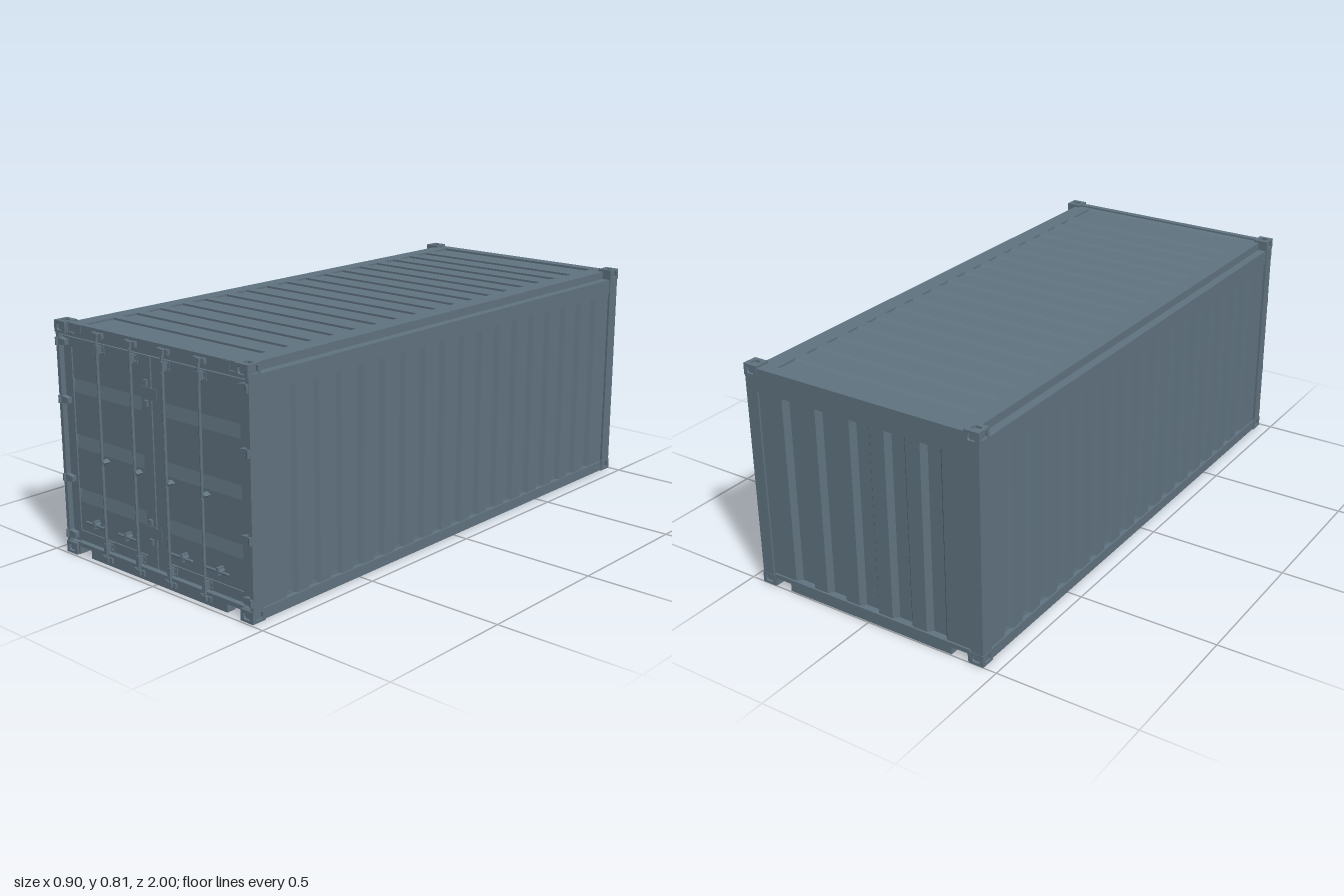
import * as THREE from 'three';

const mat = new THREE.MeshStandardMaterial({ color: 0x607380, flatShading: true });
const V = (x, y, z) => new THREE.Vector3(x, y, z);
const points = list => list.map(p => new THREE.Vector2(...p));

export function createModel() {
  const root = new THREE.Group();
  root.name = 'shippingContainer';

  const add = (name, geo, x = 0, y = 0, z = 0, parent = root) => {
    const m = new THREE.Mesh(geo, mat);
    m.name = name;
    m.position.set(x, y, z);
    parent.add(m);
    return m;
  };
  // Box given by its limits on each axis
  const box = (name, x0, x1, y0, y1, z0, z1, parent = root) =>
    add(name, new THREE.BoxGeometry(Math.abs(x1 - x0), y1 - y0, z1 - z0),
      (x0 + x1) / 2, (y0 + y1) / 2, (z0 + z1) / 2, parent);
  const rectPath = (x0, x1, y0, y1, Type = THREE.Path) =>
    new Type(points([[x0, y0], [x1, y0], [x1, y1], [x0, y1]]));
  const extrude = (shape, depth) => new THREE.ExtrudeGeometry(shape, { depth, bevelEnabled: false });

  // Folded sheet: u runs along the folds' sequence, out is the face normal, up is the fold direction.
  // Each groove is [start, end, slope at start, slope at end].
  const foldedSheet = (name, u0, u1, grooves, depth, length, out, up, origin) => {
    const pts = [[u0, -0.03], [u0, 0]];
    for (const [a, b, sa, sb] of grooves) pts.push([a, 0], [a + sa, -depth], [b - sb, -depth], [b, 0]);
    pts.push([u1, 0], [u1, -0.03]);
    const geo = extrude(new THREE.Shape(points(pts)), length);
    const u = new THREE.Vector3().crossVectors(out, up);
    geo.applyMatrix4(new THREE.Matrix4().makeBasis(u, out, up));
    return add(name, geo, ...origin);
  };

  // Floor and inner lining
  box('floor', -0.43, 0.43, 0.03, 0.045, -0.975, 0.965);
  box('innerLining', -0.405, 0.405, 0.045, 0.785, -0.955, 0.94);

  // Long corrugated walls, their rails and the corner posts
  for (const s of [1, -1]) {
    const grooves = [];
    for (let i = 0; i < 17; i++) {
      const a = (s > 0 ? -0.862 : -0.832) + i * 0.103;
      grooves.push([a, a + 0.052, 0.01, 0.01]);
    }
    foldedSheet('sideWall', -0.96, 0.96, grooves, 0.015, 0.69, V(s, 0, 0), V(0, 1, 0), [s * 0.442, 0.03, 0]);
    box('bottomSideRail', s * 0.425, s * 0.448, 0.002, 0.038, -0.96, 0.95);
    box('topSideRail', s * 0.405, s * 0.447, 0.715, 0.772, -0.96, 0.95);
    box('roofEdgeRail', s * 0.39, s * 0.417, 0.765, 0.8, -0.98, 0.965);
    box('rearPost', s * 0.405, s * 0.45, 0.035, 0.775, -0.998, -0.95);
    box('frontPost', s * 0.437, s * 0.451, 0.035, 0.775, 0.945, 0.988);
    box('frontPostInner', s * 0.425, s * 0.44, 0.035, 0.775, 0.945, 0.963);
  }

  // Roof sheet with pressed grooves, each with a sloped front edge
  const roof = rectPath(-0.415, 0.415, -0.965, 0.99, THREE.Shape);
  const grooveSpans = [[-0.985, -0.865], [0.82, 0.95]];
  for (let i = 0; i < 16; i++) grooveSpans.push([-0.82 + i * 0.1027, -0.758 + i * 0.1027]);
  const ramp = new THREE.Shape(points([[0, 0], [0.014, 0], [0, 0.008]]));
  for (const [a, b] of grooveSpans) {
    roof.holes.push(rectPath(-0.358, 0.352, -b, -a));
    add('roofGrooveSlope', extrude(ramp, 0.71).rotateY(Math.PI / 2), -0.358, 0.792, b);
  }
  add('roofSheet', extrude(roof, 0.008).rotateX(-Math.PI / 2), 0, 0.792, 0);
  box('roofBase', -0.41, 0.41, 0.775, 0.793, -0.988, 0.965);

  // Rear corrugated wall
  const rearGrooves = [];
  for (let i = 0; i < 5; i++) rearGrooves.push([-0.31 + i * 0.135, -0.23 + i * 0.135, 0.016, 0.016]);
  foldedSheet('rearWall', -0.41, 0.41, rearGrooves, 0.018, 0.7, V(0, 0, -1), V(0, 1, 0), [0, 0.03, -0.991]);
  box('rearHeader', -0.41, 0.41, 0.72, 0.801, -0.998, -0.955);

  // Front and rear sills with lift notches, plus the front header
  const sillShape = new THREE.Shape(points([[-0.4, 0.002], [-0.392, 0.002], [-0.392, 0.03], [-0.33, 0.03],
    [-0.33, 0.002], [0.33, 0.002], [0.33, 0.03], [0.392, 0.03], [0.392, 0.002], [0.4, 0.002],
    [0.4, 0.045], [-0.4, 0.045]]));
  add('frontSill', extrude(sillShape, 0.035), 0, 0, 0.948);
  add('rearSill', extrude(sillShape, 0.035), 0, 0, -0.998);
  box('frontHeader', -0.4, 0.4, 0.77, 0.806, 0.955, 0.978);
  for (const s of [1, -1]) {
    box('headerGusset', s * 0.33, s * 0.365, 0.776, 0.804, 0.97, 0.98);
    box('headerGussetLip', s * 0.365, s * 0.4, 0.772, 0.777, 0.97, 0.985);
  }

  // Corner castings: a core with holed plates on the three outer faces
  const holedPlate = (w, h) => {
    const shape = rectPath(-w / 2, w / 2, -h / 2, h / 2, THREE.Shape);
    const a = 0.015, b = 0.012, c = 0.005;
    shape.holes.push(new THREE.Path(points([[-a, -b + c], [-a + c, -b], [a - c, -b], [a, -b + c],
      [a, b - c], [a - c, b], [-a + c, b], [-a, b - c]])));
    return extrude(shape, 0.008);
  };
  for (const sx of [1, -1]) for (const sy of [1, -1]) for (const sz of [1, -1]) {
    const g = new THREE.Group();
    g.name = 'cornerCasting';
    g.position.set(sx * 0.4245, sy > 0 ? 0.789 : 0.02, sz > 0 ? 0.965 : -0.973);
    add('castingCore', new THREE.BoxGeometry(0.046, 0.032, 0.044), -sx * 0.004, -sy * 0.004, -sz * 0.005, g);
    add('castingEnd', holedPlate(0.054, 0.04), 0, 0, sz * 0.019, g).rotation.y = sz > 0 ? 0 : Math.PI;
    add('castingSide', holedPlate(0.054, 0.04), sx * 0.019, 0, 0, g).rotation.y = sx * Math.PI / 2;
    add('castingCap', holedPlate(0.054, 0.054), 0, sy * 0.012, 0, g).rotation.x = -sy * Math.PI / 2;
    root.add(g);
  }

  // Doors: border frame around a sheet with shallow horizontal folds
  const doorGrooves = [0.235, 0.425, 0.617].map(y => [y - 0.047, y, 0.043, 0.002]);
  for (const s of [1, -1]) {
    const x0 = s > 0 ? 0.003 : -0.433;
    foldedSheet('doorSheet', 0.08, 0.73, doorGrooves, 0.007, 0.36, V(0, 0, 1), V(1, 0, 0),
      [s > 0 ? 0.042 : -0.402, 0, 0.967]);
    box('doorTopBorder', x0, x0 + 0.43, 0.723, 0.756, 0.94, 0.972);
    box('doorBottomBorder', x0, x0 + 0.43, 0.05, 0.085, 0.94, 0.972);
    box('doorInnerBorder', s * 0.003, s * 0.048, 0.085, 0.723, 0.94, 0.972);
    box('doorOuterBorder', s * 0.395, s * 0.433, 0.085, 0.723, 0.94, 0.972);
    // Hinges, tapered towards the door
    for (const y of [0.738, 0.54, 0.267, 0.067]) {
      const leaf = new THREE.Shape(points([[0.406, -0.009], [0.446, -0.014], [0.446, 0.014], [0.406, 0.009]]
        .map(([x, v]) => [s * x, v])));
      add('hingeLeaf', extrude(leaf, 0.018), 0, y, 0.971);
      add('hingePin', new THREE.CylinderGeometry(0.006, 0.006, 0.026, 8), s * 0.445, y, 0.99);
    }
  }
  box('doorBacking', -0.435, 0.435, 0.045, 0.772, 0.935, 0.945);
  box('doorSeal', -0.44, 0.44, 0.757, 0.77, 0.94, 0.966);

  // Overlapping lock plates at the door split
  for (const y of [0.635, 0.172]) {
    box('lockPlate', -0.05, 0.025, y - 0.019, y + 0.019, 0.965, 0.974);
    for (const d of [-0.033, 0.034])
      box('lockLug', -0.032, -0.016, y + d - 0.01, y + d + 0.01, 0.965, 0.98);
  }

  // Locking bars with keepers, bearings, guides and handles
  [[-0.24, -1], [-0.077, -1], [0.075, 1], [0.238, 1]].forEach(([x, s]) => {
    const g = new THREE.Group();
    g.name = 'lockingBar';
    g.position.x = x;
    root.add(g);
    add('rod', new THREE.CylinderGeometry(0.0052, 0.0052, 0.78, 10), 0, 0.405, 0.988, g);
    for (const y of [0.787, 0.025]) {
      box('keeper', -0.026, 0.026, y - 0.006, y + 0.006, 0.975, 0.986, g);
      for (const e of [-0.019, 0.019]) box('keeperEar', e - 0.006, e + 0.006, y - 0.009, y + 0.009, 0.975, 0.99, g);
      box('cam', -0.009, 0.009, y - 0.008, y + 0.008, 0.978, 0.994, g);
    }
    for (const y of [0.74, 0.067]) {
      box('bearingPlate', -0.018, 0.018, y - 0.017, y + 0.017, 0.97, 0.975, g);
      box('bearing', -0.007, 0.007, y - 0.014, y + 0.014, 0.972, 0.995, g);
      for (const bx of [-0.012, 0.012]) for (const by of [-0.009, 0.009])
        add('bolt', new THREE.CylinderGeometry(0.003, 0.003, 0.005, 8).rotateX(Math.PI / 2), bx, y + by, 0.977, g);
    }
    const guide = add('rodGuide', new THREE.CylinderGeometry(0.015, 0.015, 0.026, 4).rotateX(Math.PI / 2), 0, 0.363, 0.978, g);
    guide.scale.y = 0.6;
    // Handle reaching sideways from the rod
    add('handle', new THREE.CapsuleGeometry(0.0045, 0.095, 3, 8).rotateZ(Math.PI / 2), s * 0.054, 0.13, 0.985, g);
    add('handleHub', new THREE.CylinderGeometry(0.009, 0.009, 0.026, 8).rotateX(Math.PI / 2), s * 0.06, 0.13, 0.977, g);
    box('handleCatch', s * 0.056, s * 0.064, 0.117, 0.144, 0.96, 0.992, g);
  });

  return root;
}
